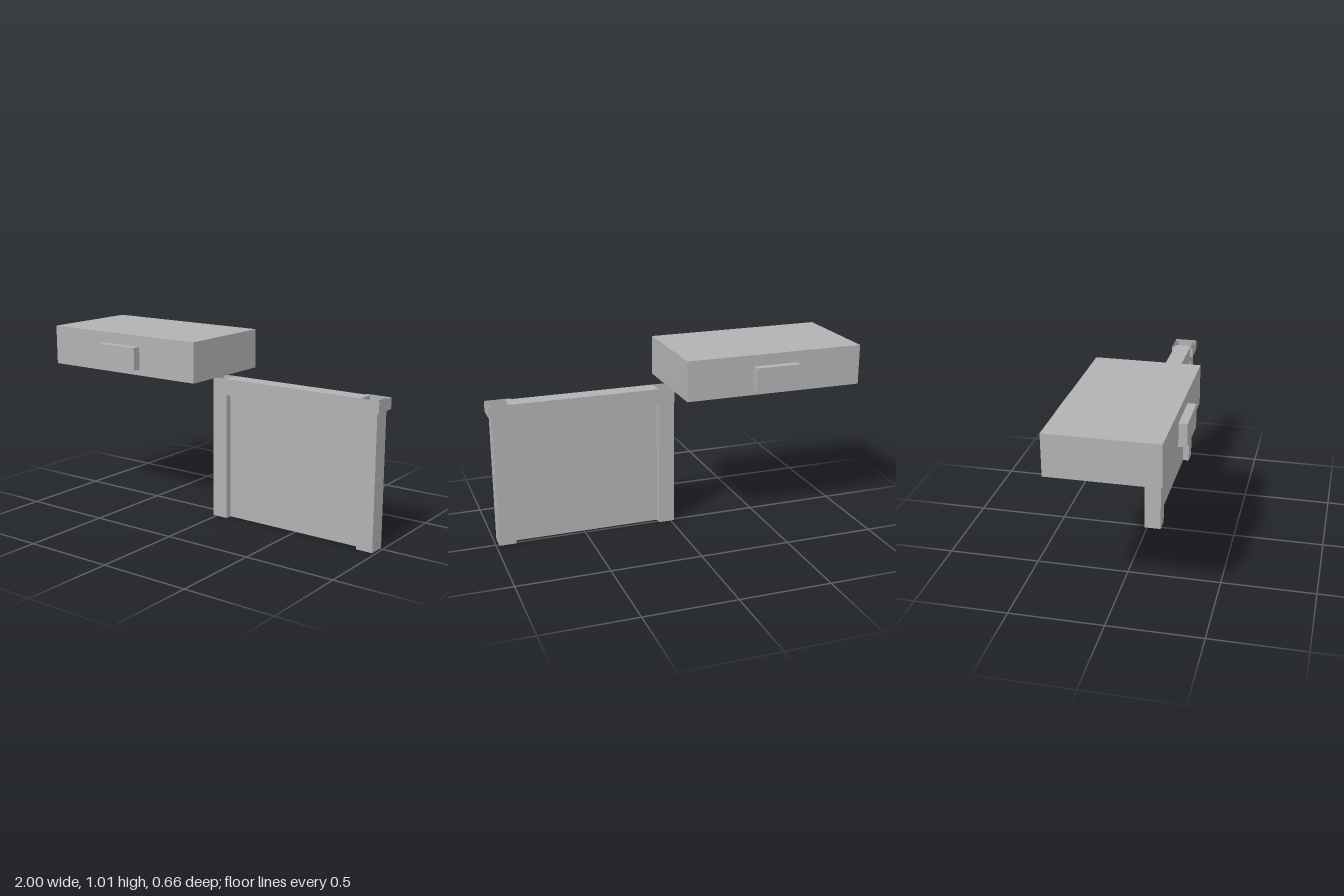
import * as THREE from 'three';

const grey = new THREE.MeshStandardMaterial({ color: 0xb2b2b2, side: THREE.DoubleSide });
grey.name = 'plain grey';

// Face order of a box: +x, -x, +y, -y, +z, -z
const RIGHT = 0, LEFT = 1, TOP = 2, BOTTOM = 3;

// Box between two limits on each axis, with the listed faces left open
function box(name, [x0, x1], [y0, y1], [z0, z1], open = []) {
  const geometry = new THREE.BoxGeometry(x1 - x0, y1 - y0, z1 - z0);
  const index = Array.from(geometry.index.array);
  geometry.setIndex(index.filter((_, i) => !open.includes(Math.floor(i / 6))));
  geometry.clearGroups();
  const mesh = new THREE.Mesh(geometry, grey);
  mesh.name = name;
  mesh.position.set((x0 + x1) / 2, (y0 + y1) / 2, (z0 + z1) / 2);
  return mesh;
}

export function createModel() {
  const model = new THREE.Group();
  model.name = 'slabAndFrame';

  // Raised slab with a block on each long side
  const slab = new THREE.Group();
  slab.name = 'slab';
  slab.add(box('slabBody', [-1, 0.005], [0.79, 1.01], [-0.285, 0.285]));
  slab.add(box('frontBlock', [-0.62, -0.37], [0.823, 0.948], [0.285, 0.33]));
  slab.add(box('backBlock', [-0.62, -0.37], [0.823, 0.948], [-0.33, -0.285]));
  model.add(slab);

  // Upright frame: hollow posts, a lintel and a recessed panel
  const frame = new THREE.Group();
  frame.name = 'frame';
  const depth = [-0.015, 0.08];
  frame.add(box('rightPost', [-0.02, 0.07], [0, 0.79], depth, [TOP, BOTTOM]));
  frame.add(box('leftPost', [0.89, 0.983], [0, 0.79], depth, [TOP, BOTTOM]));
  frame.add(box('lintel', [0.07, 0.89], [0.7, 0.79], depth, [LEFT, RIGHT]));
  frame.add(box('panel', [0.07, 0.89], [0, 0.7], [0.022, 0.043], [LEFT, RIGHT, TOP, BOTTOM]));

  // Open collar around the head of the left post
  frame.add(box('collar', [0.86, 1], [0.73, 0.79], [-0.032, 0.096], [TOP]));
  model.add(frame);

  return model;
}
